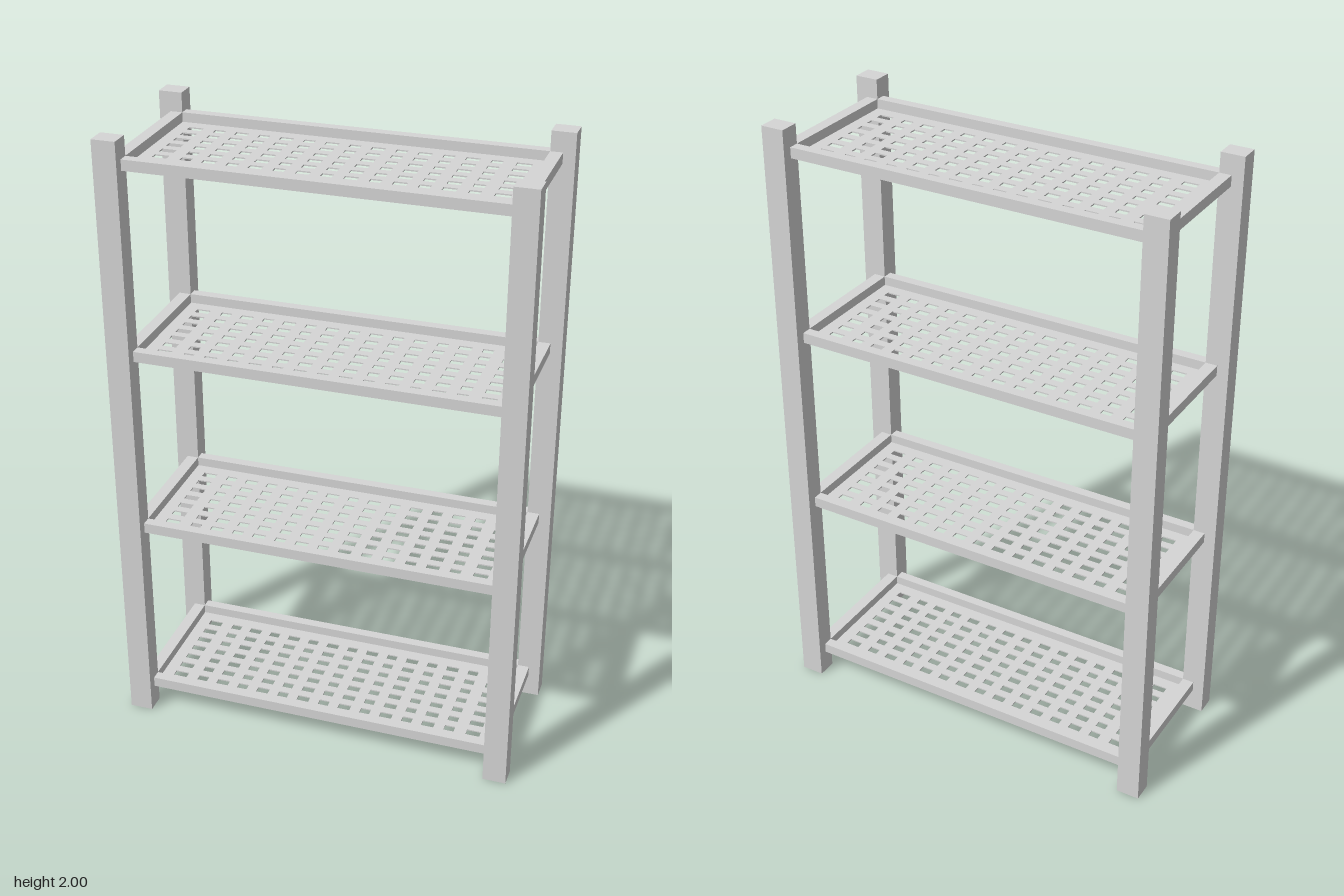
import * as THREE from 'three';

const INNER_X = 0.575, INNER_Z = 0.21;    // inner faces of posts and rims
const OUTER_X = 0.65, OUTER_Z = 0.274;    // outer faces of posts
const RIM_X = 0.613, RIM_Z = 0.243;       // outer faces of the shelf rims
const RIM_H = 0.034, PANEL_H = 0.004;

// Shelf panel pierced by a grid of rectangular slots
function panelGeometry() {
  const rect = (path, x, y, w, h) => path
    .moveTo(x - w / 2, y - h / 2).lineTo(x + w / 2, y - h / 2)
    .lineTo(x + w / 2, y + h / 2).lineTo(x - w / 2, y + h / 2).closePath();
  const shape = new THREE.Shape();
  rect(shape, 0, 0, INNER_X * 2, INNER_Z * 2);
  for (let c = -7; c <= 7; c++) {
    const end = Math.abs(c) === 7;
    const x = end ? Math.sign(c) * 0.512 : c * 0.072;
    const width = end ? 0.046 : c % 2 === 0 ? 0.034 : 0.041;
    for (let r = -3; r <= 3; r++) {
      const hole = new THREE.Path();
      rect(hole, x, r * 0.0523, width, 0.025);
      shape.holes.push(hole);
    }
  }
  return new THREE.ExtrudeGeometry(shape, { depth: PANEL_H, bevelEnabled: false })
    .rotateX(-Math.PI / 2);
}

// Hollow post: a box without its bottom face
function postGeometry() {
  const g = new THREE.BoxGeometry(OUTER_X - INNER_X, 2, OUTER_Z - INNER_Z);
  const index = Array.from(g.index.array);
  index.splice(18, 6);
  g.setIndex(index);
  g.clearGroups();
  return g;
}

export function createModel() {
  const model = new THREE.Group();
  model.name = 'shelvingUnit';
  const metal = new THREE.MeshStandardMaterial({ color: 0xd5d5d5 });
  metal.name = 'light grey metal';

  const add = (parent, name, geometry, x, y, z) => {
    const mesh = new THREE.Mesh(geometry, metal);
    mesh.name = name;
    mesh.position.set(x, y, z);
    parent.add(mesh);
  };

  // Four corner posts
  const post = postGeometry();
  for (const sx of [-1, 1]) for (const sz of [-1, 1]) {
    const name = (sz > 0 ? 'front' : 'back') + (sx > 0 ? 'Left' : 'Right') + 'Post';
    add(model, name, post, sx * (INNER_X + OUTER_X) / 2, 1, sz * (INNER_Z + OUTER_Z) / 2);
  }

  // Four perforated shelves, each with a raised rim
  const panel = panelGeometry();
  const longRim = new THREE.BoxGeometry(INNER_X * 2, RIM_H, RIM_Z - INNER_Z);
  const shortRim = new THREE.BoxGeometry(RIM_X - INNER_X, RIM_H, INNER_Z * 2);
  for (let i = 0; i < 4; i++) {
    const shelf = new THREE.Group();
    shelf.name = 'shelf' + (i + 1);
    shelf.position.y = 0.076 + i * 0.6093;
    add(shelf, 'panel', panel, 0, 0, 0);
    for (const s of [-1, 1]) {
      add(shelf, s > 0 ? 'frontRim' : 'backRim', longRim, 0, RIM_H / 2, s * (INNER_Z + RIM_Z) / 2);
      add(shelf, s > 0 ? 'leftRim' : 'rightRim', shortRim, s * (INNER_X + RIM_X) / 2, RIM_H / 2, 0);
    }
    model.add(shelf);
  }
  return model;
}
